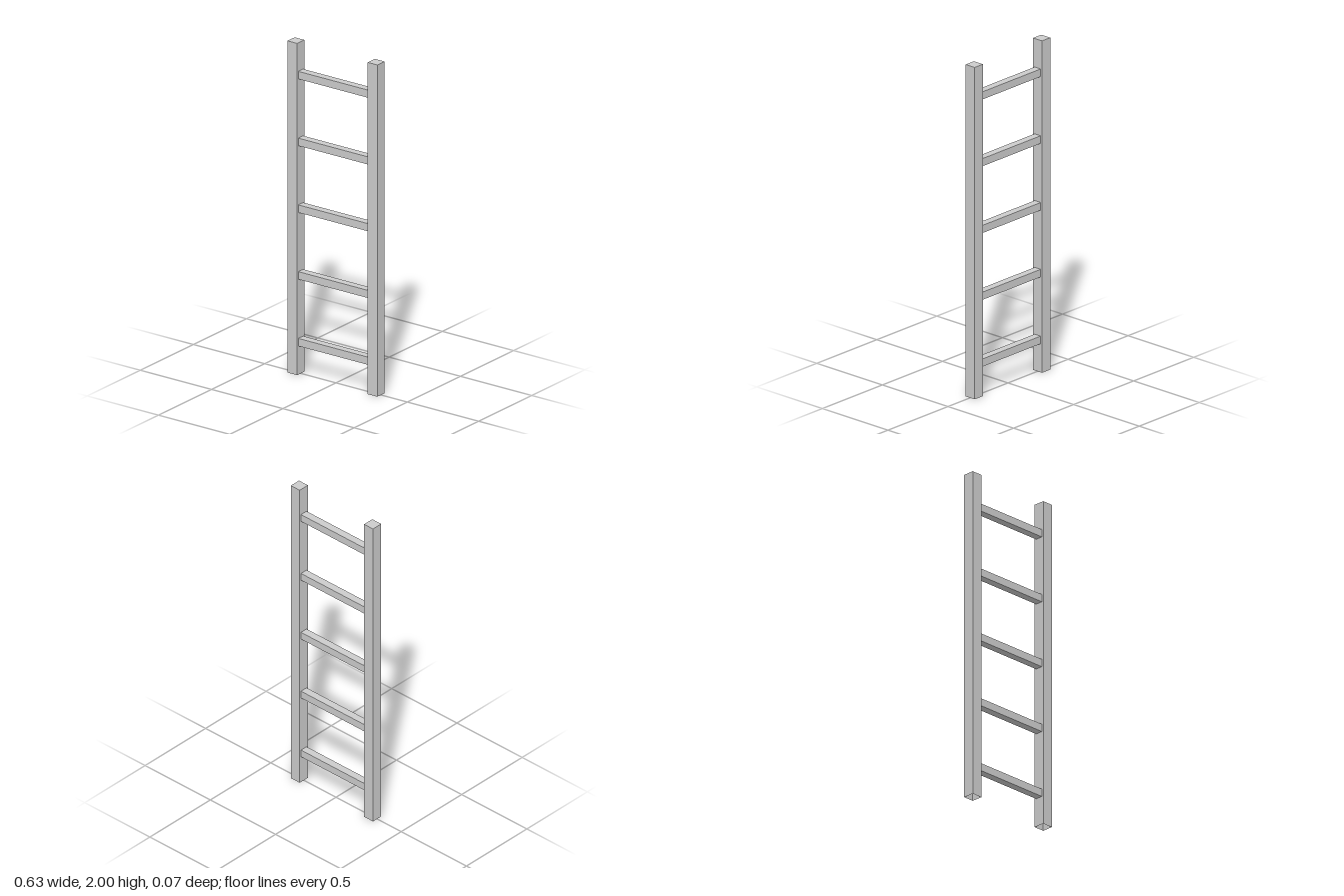
import * as THREE from 'three';

const HEIGHT = 2, RAIL = 0.068, RAIL_X = 0.281;
const RUNG = 0.046, RUNG_COUNT = 5, RUNG_GAP = 0.4025;

// Box without the listed sides (0 +x, 1 -x, 2 +y, 3 -y, 4 +z, 5 -z)
function openBox(w, h, d, removed) {
  const geometry = new THREE.BoxGeometry(w, h, d);
  const index = Array.from(geometry.index.array);
  geometry.setIndex(index.filter((_, i) => !removed.includes(Math.floor(i / 6))));
  geometry.clearGroups();
  return geometry;
}

export function createModel() {
  const ladder = new THREE.Group();
  ladder.name = 'ladder';
  const material = new THREE.MeshStandardMaterial({ color: 0xcccccc, side: THREE.DoubleSide });

  // Square side rails, open underneath
  const railGeometry = openBox(RAIL, HEIGHT, RAIL, [3]);
  for (const side of [-1, 1]) {
    const rail = new THREE.Mesh(railGeometry, material);
    rail.name = side > 0 ? 'leftRail' : 'rightRail';
    rail.position.set(side * RAIL_X, HEIGHT / 2, 0);
    ladder.add(rail);
  }

  // Evenly spaced rungs, butted against the inner rail faces
  const rungGeometry = openBox(2 * RAIL_X - RAIL, RUNG, RUNG, [0, 1]);
  for (let i = 0; i < RUNG_COUNT; i++) {
    const rung = new THREE.Mesh(rungGeometry, material);
    rung.name = `rung${i + 1}`;
    rung.position.y = HEIGHT / 2 + (i - (RUNG_COUNT - 1) / 2) * RUNG_GAP;
    ladder.add(rung);
  }
  return ladder;
}
